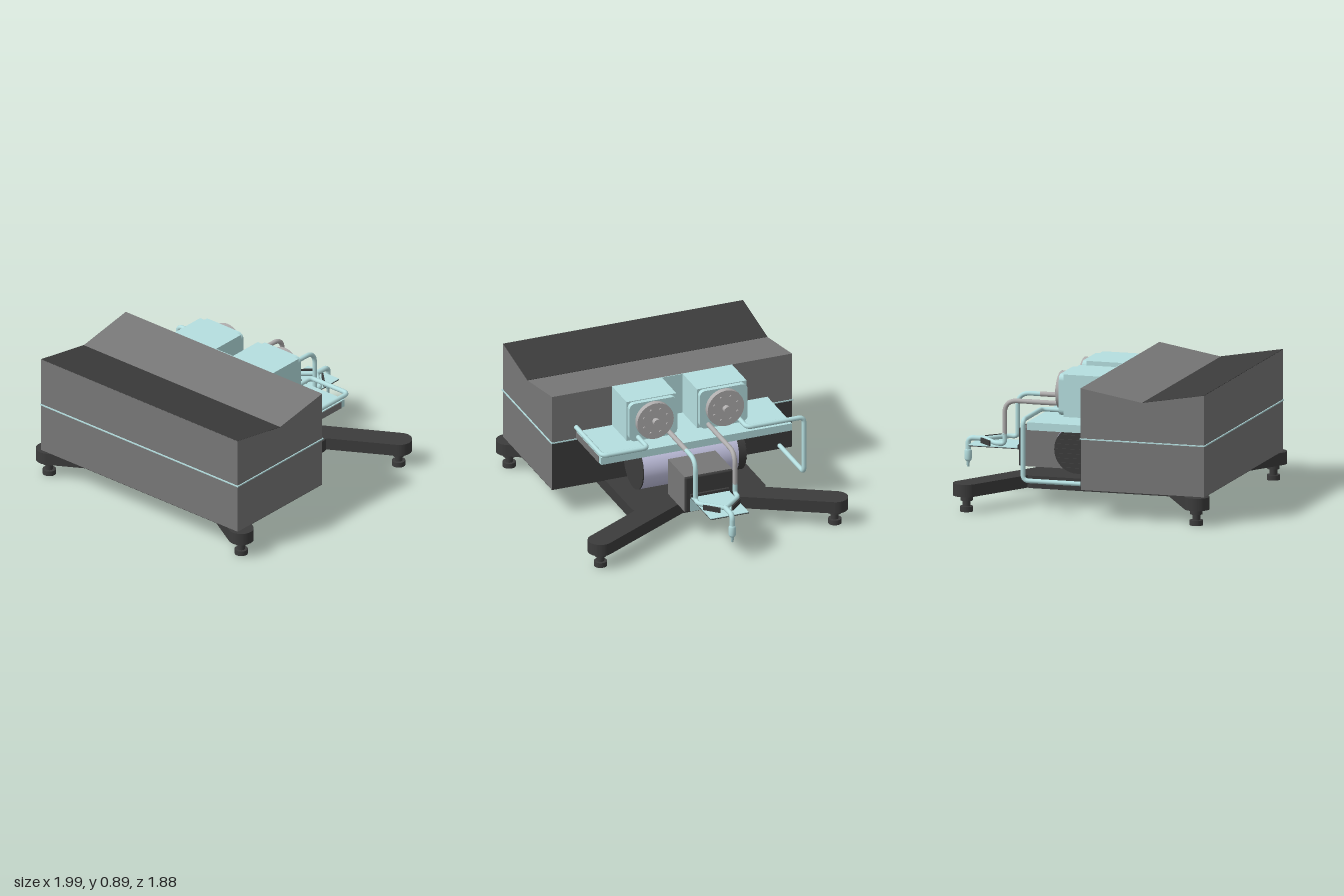
import * as THREE from 'three';
import { RoundedBoxGeometry } from 'three/addons/geometries/RoundedBoxGeometry.js';

const mat = (color) => new THREE.MeshStandardMaterial({ color });
const GREY = mat(0x777777), DARK = mat(0x3c3c3c), AQUA = mat(0xb5dfe0);
const STEEL = mat(0xb0aeae), LILAC = mat(0xc4c4e2);

export function createModel() {
  const root = new THREE.Group();

  const add = (name, geo, material, x = 0, y = 0, z = 0) => {
    const m = new THREE.Mesh(geo, material);
    m.name = name;
    m.position.set(x, y, z);
    root.add(m);
    return m;
  };
  // box given by its limits on each axis
  const box = (name, material, [x0, x1], [y0, y1], [z0, z1]) =>
    add(name, new THREE.BoxGeometry(x1 - x0, y1 - y0, z1 - z0), material,
      (x0 + x1) / 2, (y0 + y1) / 2, (z0 + z1) / 2);
  // cylinder along 'x', 'y' or 'z', centred on the given point
  const cyl = (name, material, axis, r, len, x, y, z, sides = 32) => {
    const g = new THREE.CylinderGeometry(r, r, len, sides);
    if (axis === 'x') g.rotateZ(Math.PI / 2);
    if (axis === 'z') g.rotateX(Math.PI / 2);
    return add(name, g, material, x, y, z);
  };
  // pipe along straight runs with rounded corners
  const pipe = (name, material, pts, r = 0.016, bend = 0.04) => {
    const p = pts.map((a) => new THREE.Vector3(...a));
    const path = new THREE.CurvePath();
    let from = p[0];
    for (let i = 1; i < p.length - 1; i++) {
      const before = p[i - 1].clone().sub(p[i]), after = p[i + 1].clone().sub(p[i]);
      const d = Math.min(bend, before.length() * 0.49, after.length() * 0.49);
      const a = p[i].clone().addScaledVector(before.normalize(), d);
      const b = p[i].clone().addScaledVector(after.normalize(), d);
      path.add(new THREE.LineCurve3(from, a));
      path.add(new THREE.QuadraticBezierCurve3(a, p[i], b));
      from = b;
    }
    path.add(new THREE.LineCurve3(from, p[p.length - 1]));
    const m = add(name, new THREE.TubeGeometry(path, 90, r, 12), material);
    for (const i of [0, p.length - 1]) add(name + 'End', new THREE.SphereGeometry(r, 12, 8), material, ...pts[i]);
    return m;
  };

  // base: rectangular plate with four round-ended arms at 60 degrees
  const base = new THREE.Shape();
  const R = 0.085, deg = Math.PI / 180;
  base.moveTo(0.4, -0.13);
  base.lineTo(0.4, 0.13);
  base.absarc(0.715, 0.853, R, -30 * deg, 150 * deg);
  base.lineTo(0.4, 0.475);
  base.lineTo(0.37, 0.485);
  base.lineTo(-0.6, 0.485);
  base.absarc(-0.915, 0.853, R, 30 * deg, 210 * deg);
  base.lineTo(-0.6, 0.14);
  base.lineTo(-0.6, -0.14);
  base.absarc(-0.915, -0.853, R, 150 * deg, 330 * deg);
  base.lineTo(-0.6, -0.485);
  base.lineTo(0.37, -0.485);
  base.lineTo(0.4, -0.475);
  base.absarc(0.715, -0.853, R, 210 * deg, 390 * deg);
  const baseGeo = new THREE.ExtrudeGeometry(base, { depth: 0.085, bevelEnabled: false, curveSegments: 16 });
  baseGeo.rotateX(-Math.PI / 2);
  add('basePlate', baseGeo, DARK, 0, 0.11, 0);

  // levelling feet
  for (const x of [-0.91, 0.71]) for (const z of [-0.85, 0.85]) {
    cyl('footPad', DARK, 'y', 0.045, 0.035, x, 0.0175, z, 24);
    cyl('footStem', DARK, 'y', 0.026, 0.05, x, 0.055, z, 16);
    cyl('footCollar', DARK, 'y', 0.042, 0.035, x, 0.0925, z, 24);
  }

  // housing: lower box, seam plate and upper cover with a valley roof
  box('lowerHousing', GREY, [-0.97, -0.102], [0.195, 0.54], [-0.87, 0.87]);
  box('lowerHousingFace', DARK, [-0.102, -0.1], [0.195, 0.54], [-0.87, 0.87]);
  box('lowerHousingFloor', DARK, [-0.97, -0.1], [0.193, 0.195], [-0.87, 0.87]);
  box('seamPlate', AQUA, [-0.977, -0.094], [0.54, 0.548], [-0.877, 0.877]);
  const cover = new THREE.Shape([[-0.97, 0.545], [-0.1, 0.545], [-0.1, 0.89], [-0.535, 0.815], [-0.97, 0.89]]
    .map(([x, y]) => new THREE.Vector2(x, y)));
  add('upperCover', new THREE.ExtrudeGeometry(cover, { depth: 1.74, bevelEnabled: false }), GREY, 0, 0, -0.87);
  const roof = add('darkRoofPanel', new THREE.BoxGeometry(0.441, 0.004, 1.74), DARK, -0.7525, 0.8525, 0);
  roof.rotation.z = -Math.atan2(0.075, 0.435);

  // motor drum with ribbed fan cover
  cyl('drum', LILAC, 'z', 0.172, 0.69, 0.075, 0.37, 0, 48);
  cyl('drumFrontCap', DARK, 'z', 0.173, 0.008, 0.075, 0.37, 0.349, 48);
  cyl('fanCover', DARK, 'z', 0.16, 0.06, 0.075, 0.37, -0.373, 48);
  for (let i = -4; i <= 4; i++) {
    const y = i * 0.032, w = 2 * Math.sqrt(0.15 ** 2 - y * y);
    box('fanRib', DARK, [0.075 - w / 2, 0.075 + w / 2], [0.363 + y, 0.377 + y], [-0.411, -0.402]);
  }

  // control box with face plate and lower panel
  box('controlBox', GREY, [0.25, 0.545], [0.195, 0.455], [-0.172, 0.172]);
  add('controlFace', new RoundedBoxGeometry(0.03, 0.26, 0.344, 2, 0.012), DARK, 0.546, 0.325, 0);
  box('controlPanel', AQUA, [0.55, 0.565], [0.2, 0.305], [-0.14, 0.14]);

  // drip tray
  box('trayHinge', DARK, [0.555, 0.578], [0.3, 0.33], [-0.14, 0.14]);
  box('trayTop', AQUA, [0.57, 0.925], [0.306, 0.311], [-0.138, 0.138]);
  box('trayUnderside', DARK, [0.57, 0.925], [0.301, 0.306], [-0.138, 0.138]);

  // pump shelf
  box('shelf', AQUA, [-0.1, 0.335], [0.547, 0.6], [-0.692, 0.692]);
  box('shelfTrim', GREY, [-0.1, 0.3], [0.547, 0.595], [0.692, 0.695]);
  box('backPanel', AQUA, [-0.1, -0.094], [0.6, 0.89], [-0.08, 0.08]);

  // two pump heads
  for (const s of [-1, 1]) {
    const z = s * 0.255, y = 0.748;
    box('pumpBody', AQUA, [-0.1, 0.16], [0.6, 0.89], [z - 0.18, z + 0.18]);
    const q = new THREE.Shape(), h = 0.14, w = 0.173, c = 0.04;
    q.absarc(w - c, h - c, c, 0, Math.PI / 2);
    q.absarc(c - w, h - c, c, Math.PI / 2, Math.PI);
    q.absarc(c - w, c - h, c, Math.PI, 1.5 * Math.PI);
    q.absarc(w - c, c - h, c, 1.5 * Math.PI, 2 * Math.PI);
    const flange = new THREE.ExtrudeGeometry(q, { depth: 0.035, bevelEnabled: false, curveSegments: 6 });
    flange.rotateY(Math.PI / 2);
    add('pumpFlange', flange, AQUA, 0.16, y - 0.003, z);
    cyl('pumpDisc', STEEL, 'x', 0.132, 0.04, 0.213, y, z, 40);
    cyl('pumpHub', STEEL, 'x', 0.025, 0.035, 0.25, y, z, 16);
    for (let i = 0; i < 8; i++) {
      const a = (i + 0.5) * Math.PI / 4;
      cyl('discBolt', STEEL, 'x', 0.009, 0.01, 0.237, y + 0.09 * Math.sin(a), z + 0.09 * Math.cos(a), 8);
    }
  }

  // supply pipes
  pipe('frontPipe', AQUA, [[-0.1, 0.632, 0.695], [0.37, 0.632, 0.695], [0.37, 0.632, 0.367], [0.2, 0.632, 0.367]]);
  pipe('rearPipe', AQUA, [[0.2, 0.632, -0.367], [0.335, 0.632, -0.367], [0.335, 0.632, -0.78],
    [0.335, 0.218, -0.78], [-0.1, 0.218, -0.78]]);

  // hoses arching down to the tray and meeting in a Y
  for (const s of [-1, 1]) {
    const z = s * 0.143;
    const hose = s < 0 ? STEEL : AQUA;
    pipe('hoseSleeve', STEEL, [[0.2, 0.632, z], [0.5, 0.632, z]], 0.017);
    pipe('hose', hose, [[0.48, 0.632, z], [0.667, 0.632, z], [0.667, 0.4, z]], 0.016, 0.17);
    pipe('hoseLower', AQUA, [[0.667, 0.41, z], [0.667, 0.333, z], [0.725, 0.333, z], [0.85, 0.333, 0]], 0.016, 0.05);
    const clamp = add('hoseClamp', new THREE.BoxGeometry(0.125, 0.036, 0.012), DARK, 0.82, 0.328, s * 0.088);
    clamp.rotation.y = s * 0.8;
  }

  // spray nozzle
  pipe('nozzlePipe', AQUA, [[0.845, 0.333, 0], [0.97, 0.333, 0], [0.97, 0.24, 0]], 0.018, 0.04);
  const profile = [[0, 0.135], [0.009, 0.135], [0.011, 0.17], [0.02, 0.178], [0.025, 0.19], [0.025, 0.245], [0.016, 0.258], [0, 0.258]]
    .map(([r, y]) => new THREE.Vector2(r, y));
  add('nozzle', new THREE.LatheGeometry(profile, 20), AQUA, 0.97, 0, 0);

  return root;
}
